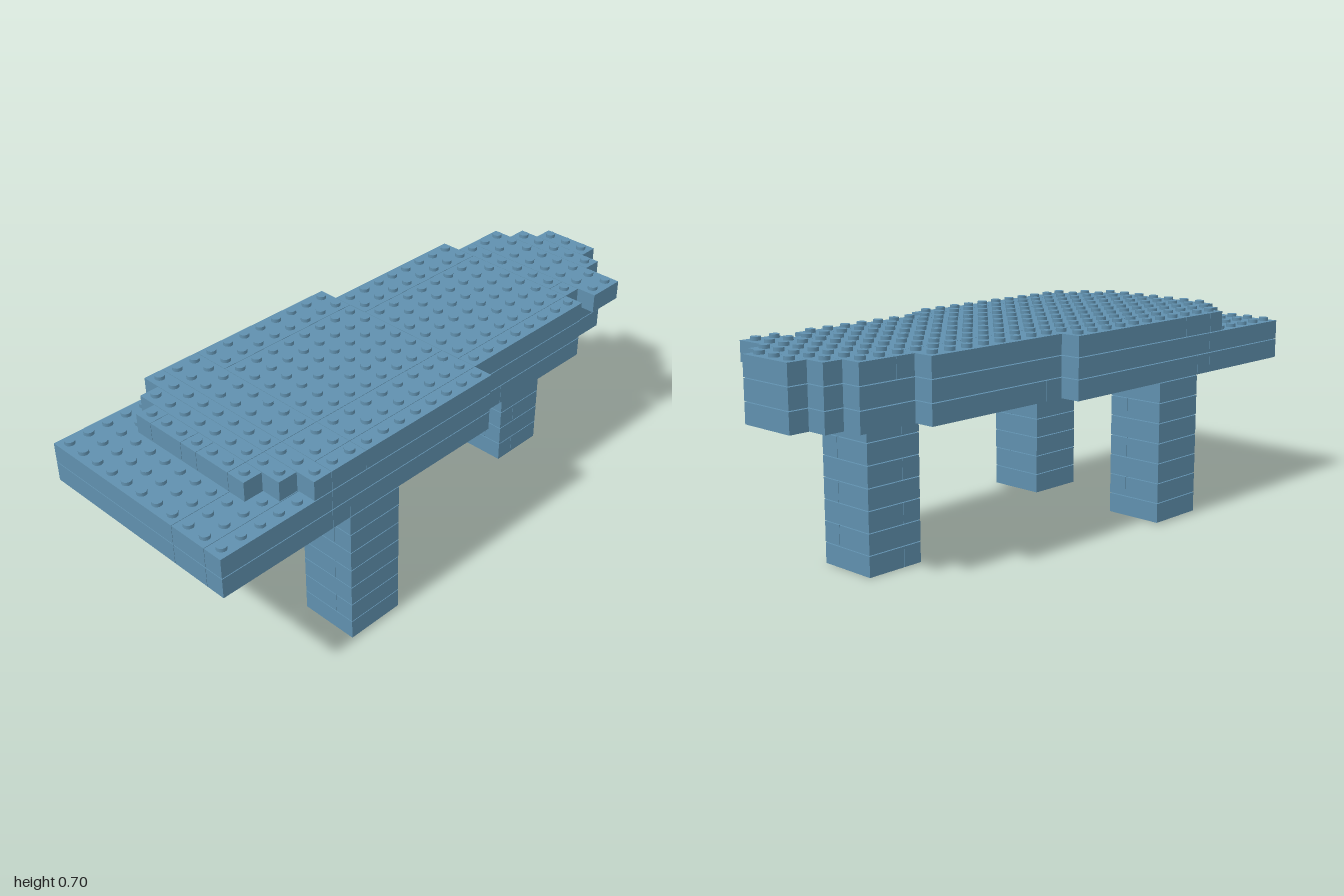
import * as THREE from 'three';
import { mergeGeometries } from 'three/addons/utils/BufferGeometryUtils.js';

const P = 2 / 29;          // brick pitch, also the layer height
const GAP = 0.0015;        // half seam between neighbouring bricks
const COLS = 11, ROWS = 29;
const xAt = c => (c - COLS / 2) * P;
const zAt = r => (r - ROWS / 2) * P;

// One brick covering columns c0..c1 and rows r0..r1 on a layer
function brick([c0, c1, r0, r1], layer) {
  const g = new THREE.BoxGeometry((c1 - c0) * P - GAP, P - 2 * GAP, (r1 - r0) * P - GAP);
  g.translate((xAt(c0) + xAt(c1)) / 2, (layer + 0.5) * P, (zAt(r0) + zAt(r1)) / 2);
  return g;
}

function stud(c, r, layer) {
  const g = new THREE.CylinderGeometry(0.0165, 0.0165, 0.012, 14);
  g.translate(xAt(c + 0.5), (layer + 1) * P + 0.0045, zAt(r + 0.5));
  return g;
}

// Stepped rear end shared by the two lower slab layers
const rear = [[4, 7, 0, 1], [3, 8, 1, 2], [2, 9, 2, 5]];
const front = [[0, 8, 23, 29], [8, 10, 23, 29], [10, 11, 23, 29]];

const bottomLayer = [
  ...rear,
  [1, 10, 5, 11], [1, 10, 11, 12],
  [1, 7, 12, 13], [8, 10, 12, 13],          // leaves a one-cell opening
  [0, 11, 13, 22], [0, 11, 22, 23],
  ...front,
];
const middleLayer = [...rear, [1, 10, 5, 13], [0, 11, 13, 23], ...front];
const topLayer = [
  [4, 7, 0, 1], [3, 8, 1, 2],
  [2, 10, 2, 4],                            // overhangs on one side
  [2, 8, 4, 5], [8, 9, 4, 5],
  [1, 3, 5, 13], [3, 9, 5, 13], [9, 10, 5, 13],
  [0, 2, 13, 21], [2, 8, 13, 21], [8, 10, 13, 21], [10, 11, 13, 21],
  [0, 8, 21, 23], [8, 10, 21, 23], [10, 11, 21, 23],
  [0, 8, 23, 24], [8, 11, 23, 24],
  [1, 8, 24, 25], [8, 10, 24, 25],
  [2, 3, 25, 26], [3, 5, 25, 26], [5, 6, 25, 26], [6, 8, 25, 26], [8, 9, 25, 26],
];

export function createModel() {
  const model = new THREE.Group();
  model.name = 'brickTable';
  const blue = new THREE.MeshStandardMaterial({ color: 0x6090ae });
  blue.name = 'sand blue';

  const add = (name, geometries) => {
    const mesh = new THREE.Mesh(mergeGeometries(geometries), blue);
    mesh.name = name;
    model.add(mesh);
  };

  // Three square legs, seven bricks high, with alternating seams
  const legs = [['frontRightLeg', 0, 19], ['frontLeftLeg', 8, 19], ['backLeg', 4, 4]];
  for (const [name, c, r] of legs) {
    const parts = [];
    for (let layer = 0; layer < 7; layer++) {
      if (layer % 2) {
        parts.push(brick([c, c + 2, r, r + 3], layer), brick([c + 2, c + 3, r, r + 3], layer));
      } else if (name === 'backLeg') {
        parts.push(brick([c, c + 3, r, r + 2], layer), brick([c, c + 3, r + 2, r + 3], layer));
      } else {
        parts.push(brick([c, c + 3, r, r + 3], layer));
      }
    }
    add(name, parts);
  }

  // Slab layers
  const layers = [['slabBottom', bottomLayer], ['slabMiddle', middleLayer], ['slabTop', topLayer]];
  layers.forEach(([name, rects], i) => add(name, rects.map(q => brick(q, 7 + i))));

  // Studs on every uncovered cell of the upper two layers
  const covers = (rects, c, r) => rects.some(([c0, c1, r0, r1]) => c >= c0 && c < c1 && r >= r0 && r < r1);
  const studs = [];
  for (let c = 0; c < COLS; c++) {
    for (let r = 0; r < ROWS; r++) {
      if (covers(topLayer, c, r)) studs.push(stud(c, r, 9));
      else if (covers(middleLayer, c, r)) studs.push(stud(c, r, 8));
    }
  }
  add('studs', studs);
  return model;
}
